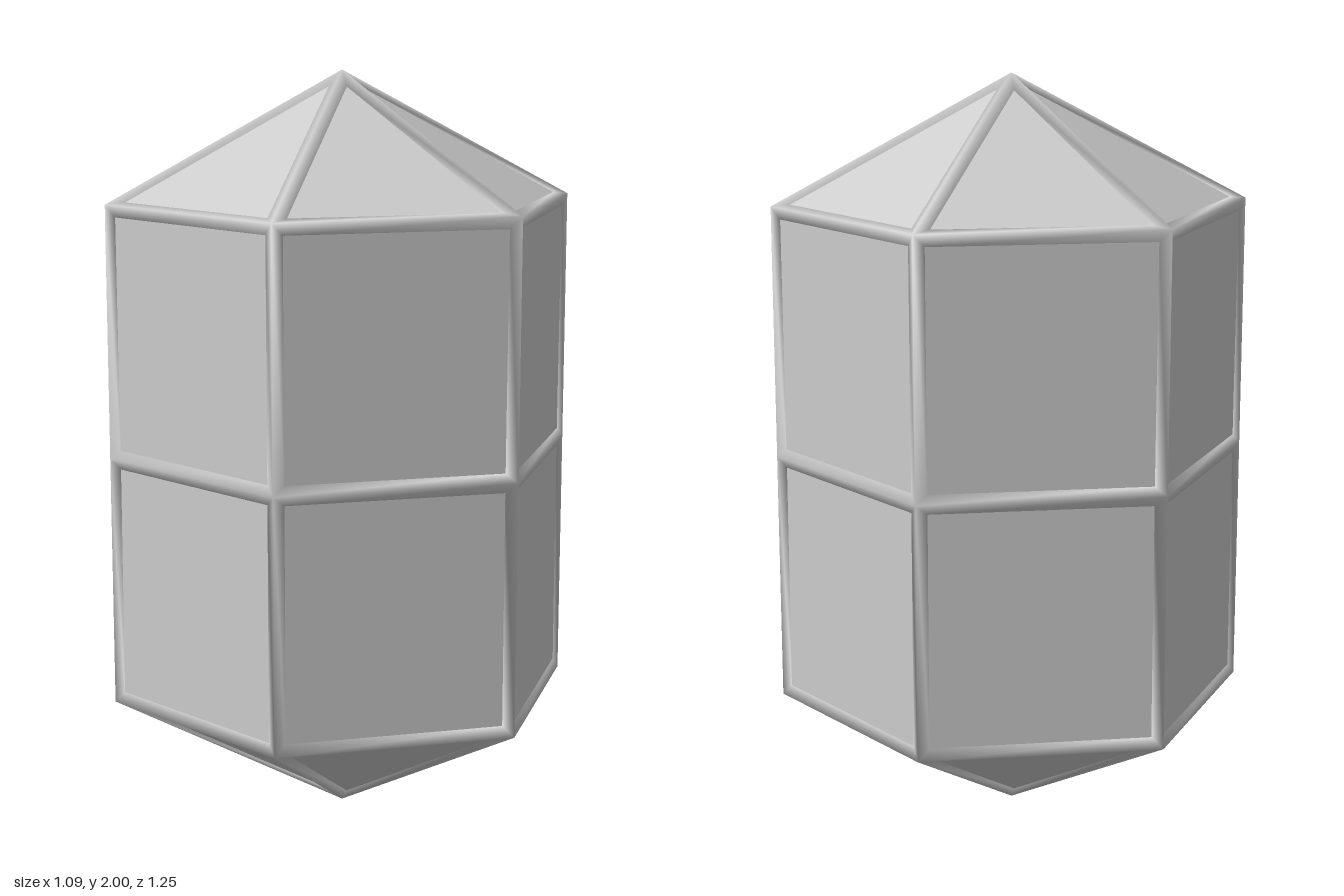
import * as THREE from 'three';
import { mergeVertices } from 'three/addons/utils/BufferGeometryUtils.js';

const RADIUS = 0.627;  // corner radius of the hexagon
const RAISE = 0.012;   // height of the frame ridge above the panels
const WIDTH = 0.025;   // half width of a frame bar

// Surface point with the outward direction used to raise or sink it
function corner(x, y, z, nx, ny, nz) {
  const outer = new THREE.Vector3(x, y, z);
  const normal = new THREE.Vector3(nx, ny, nz).normalize();
  return {
    outer,
    base: outer.clone().addScaledVector(normal, -RAISE),
    inner: outer.clone().addScaledVector(normal, -2 * RAISE),
  };
}

function ring(y, ny) {
  return Array.from({ length: 6 }, (_, k) => {
    const a = (k * Math.PI) / 3, s = Math.sin(a), c = Math.cos(a);
    return corner(RADIUS * s, y, RADIUS * c, s, ny, c);
  });
}

// Panel corners moved inwards by the bar width, within the panel's plane
function inset(face) {
  return face.map((p, i) => {
    const n = face.length;
    const u = face[(i + 1) % n].base.clone().sub(p.base).normalize();
    const v = face[(i + n - 1) % n].base.clone().sub(p.base).normalize();
    const sine = Math.sin(u.angleTo(v));
    return p.base.clone().addScaledVector(u.add(v), WIDTH / sine);
  });
}

function geometryFrom(points) {
  return new THREE.BufferGeometry().setFromPoints(points);
}

export function createModel() {
  const group = new THREE.Group();
  group.name = 'hexagonalCrystal';
  const grey = new THREE.MeshStandardMaterial({ color: 0xcccccc });
  grey.name = 'light grey';

  // Three hexagon rings and the two tips
  const rings = [ring(0.335, -0.6), ring(1, 0), ring(1.665, 0.6)];
  const bottomTip = corner(0, 0, 0, 0, -1, 0);
  const topTip = corner(0, 2, 0, 0, 1, 0);

  // Faces: two rows of side panels and a pyramid at each end
  const faces = [];
  for (let k = 0; k < 6; k++) {
    const m = (k + 1) % 6;
    for (let r = 0; r < 2; r++) {
      faces.push({ name: 'sidePanel', pts: [rings[r][k], rings[r][m], rings[r + 1][m], rings[r + 1][k]] });
    }
    faces.push({ name: 'topPanel', pts: [rings[2][k], rings[2][m], topTip] });
    faces.push({ name: 'bottomPanel', pts: [rings[0][m], rings[0][k], bottomTip] });
  }

  const bars = [];
  const quad = (a, b, c, d) => bars.push(a, b, c, a, c, d);
  for (const { name, pts } of faces) {
    // Flat panel
    const tris = [];
    for (let i = 1; i < pts.length - 1; i++) tris.push(pts[0].base, pts[i].base, pts[i + 1].base);
    const geometry = geometryFrom(tris);
    geometry.computeVertexNormals();
    const panel = new THREE.Mesh(geometry, grey);
    panel.name = name;
    group.add(panel);

    // Frame bars sloping from the ridge to the panel and back underneath
    const inner = inset(pts);
    pts.forEach((p, i) => {
      const j = (i + 1) % pts.length, q = pts[j];
      quad(p.outer, q.outer, inner[j], inner[i]);
      quad(inner[i], inner[j], q.inner, p.inner);
    });
  }

  // Smooth-shaded frame along every edge
  const frameGeometry = mergeVertices(geometryFrom(bars), 1e-4);
  frameGeometry.computeVertexNormals();
  const frame = new THREE.Mesh(frameGeometry, grey);
  frame.name = 'edgeFrame';
  group.add(frame);

  return group;
}
